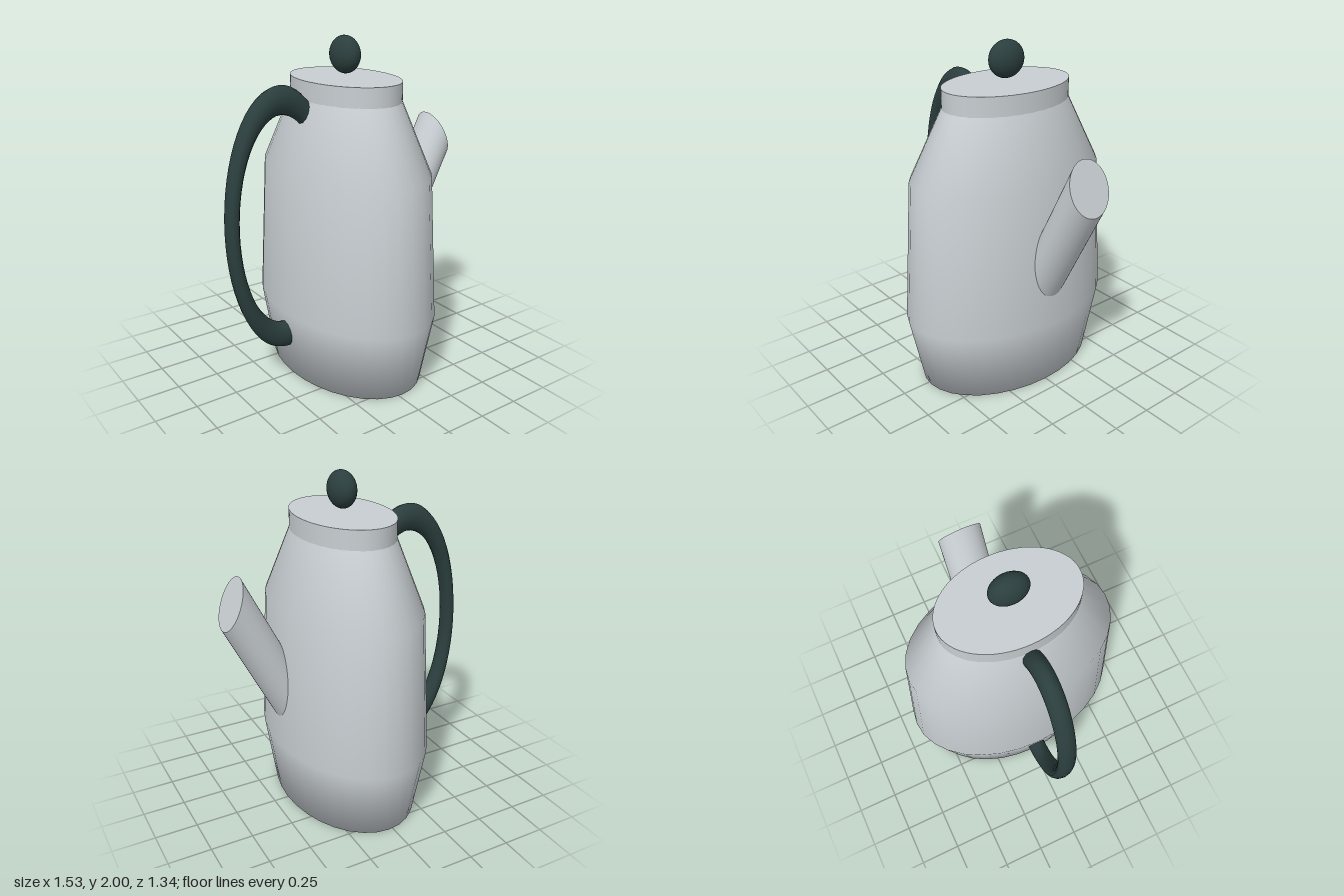
import * as THREE from 'three';

export function createModel() {
  const group = new THREE.Group();
  const steel = new THREE.MeshStandardMaterial({ color: 0xc8ced2 });
  steel.name = 'brushed steel';
  const dark = new THREE.MeshStandardMaterial({ color: 0x2b3f3e });
  dark.name = 'dark green';
  const add = (name, geometry, material) => {
    const mesh = new THREE.Mesh(geometry, material);
    mesh.name = name;
    group.add(mesh);
    return mesh;
  };
  const cx = 0.025; // pot axis
  const depth = 1.5; // oval stretch along z

  // Oval pot body with a closed base
  const profile = [[0, 0], [0.385, 0], [0.445, 0.425], [0.408, 1.26], [0.267, 1.66]]
    .map(([r, y]) => new THREE.Vector2(r, y));
  add('body', new THREE.LatheGeometry(profile, 32).scale(1, 1, depth).translate(cx, 0, 0), steel);

  // Flat lid with an upright rim
  add('lid', new THREE.CylinderGeometry(0.267, 0.267, 0.112, 64)
    .scale(1, 1, depth).translate(cx, 1.714, 0), steel);

  // Oval knob above the lid
  add('knob', new THREE.SphereGeometry(1, 32, 20)
    .scale(0.075, 0.106, 0.112).translate(cx, 1.894, 0), dark);

  // Tall oval ring handle, its inner side buried in the body
  add('handle', new THREE.TorusGeometry(1, 0.117, 12, 64)
    .scale(0.32, 0.7, 0.47).translate(-0.407, 0.983, 0), dark);

  // Slanted spout: a cylinder sheared so its mouth tips outward
  const axis = new THREE.Vector3(0.44, 0.87, 0);
  const sheared = new THREE.Matrix4().makeBasis(
    new THREE.Vector3(0.0585, -0.145, 0), axis, new THREE.Vector3(0, 0, 0.132));
  sheared.setPosition(0.7035 - axis.x, 1.345 - axis.y, 0);
  add('spout', new THREE.CylinderGeometry(1, 1, 1, 48)
    .translate(0, 0.5, 0).applyMatrix4(sheared), steel);

  return group;
}
